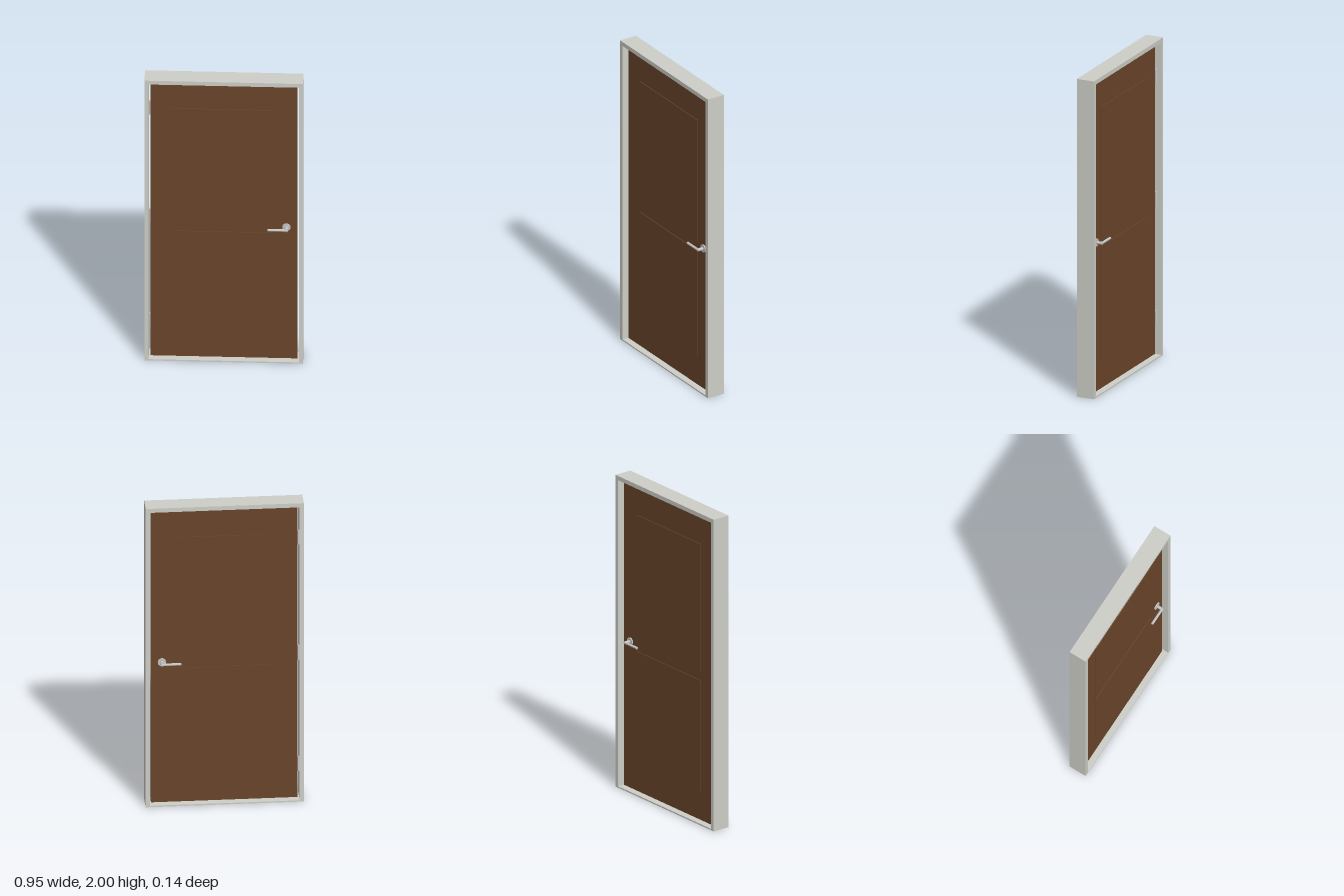
import * as THREE from 'three';

const mat = (name, color) => {
  const m = new THREE.MeshStandardMaterial({ color });
  m.name = name;
  return m;
};

export function createModel() {
  const root = new THREE.Group();
  root.name = 'door';
  const paint = mat('framePaint', 0xcfcfc8);
  const wood = mat('brownWood', 0x6a452b);
  const steel = mat('brushedSteel', 0xc4c4c2);

  const add = (parent, name, geo, material, x, y, z) => {
    const m = new THREE.Mesh(geo, material);
    m.name = name;
    m.position.set(x, y, z);
    parent.add(m);
    return m;
  };
  const rect = (path, x0, y0, x1, y1) => {
    path.moveTo(x0, y0);
    path.lineTo(x1, y0);
    path.lineTo(x1, y1);
    path.lineTo(x0, y1);
    path.closePath();
    return path;
  };

  // Frame with jambs, head and thin sill
  const depth = 0.114;
  const outline = rect(new THREE.Shape(), -0.475, 0, 0.475, 2);
  outline.holes.push(rect(new THREE.Path(), -0.45, 0.009, 0.45, 1.973));
  add(root, 'frame', new THREE.ExtrudeGeometry(outline, { depth, bevelEnabled: false }), paint, 0, 0, -depth / 2);

  // Door leaf, with a narrow gap all round
  const face = 0.021;
  add(root, 'leaf', new THREE.BoxGeometry(0.88, 1.951, face * 2), wood, 0, 0.9895, 0);

  for (const s of [1, -1]) {
    // Slightly raised panels on both faces
    for (const [name, y0, y1] of [['lowerPanel', 0.2, 0.91], ['upperPanel', 0.965, 1.785]]) {
      add(root, name, new THREE.BoxGeometry(0.615, y1 - y0, 0.005), wood, 0, (y0 + y1) / 2, s * (face + 0.0025));
    }

    // Lever handle: rose, neck and lever
    const handle = new THREE.Group();
    handle.name = s > 0 ? 'frontHandle' : 'backHandle';
    handle.position.set(0.375, 0.953, 0);
    root.add(handle);
    const disc = (name, r, z0, z1) => {
      const m = add(handle, name, new THREE.CylinderGeometry(r, r, z1 - z0, 24), steel, 0, 0, s * (z0 + z1) / 2);
      m.rotation.x = Math.PI / 2;
    };
    disc('rose', 0.025, face, 0.029);
    disc('neck', 0.01, 0.029, 0.065);
    const lever = add(handle, 'lever', new THREE.CylinderGeometry(0.008, 0.008, 0.115, 20), steel, -0.0555, 0, s * 0.061);
    lever.rotation.z = Math.PI / 2;
  }

  // Hinge barrels on the back of the right edge
  for (const y of [0.24, 0.985, 1.757]) {
    add(root, 'hinge', new THREE.CylinderGeometry(0.007, 0.007, 0.095, 16), steel, -0.445, y, -face - 0.003);
  }

  return root;
}
